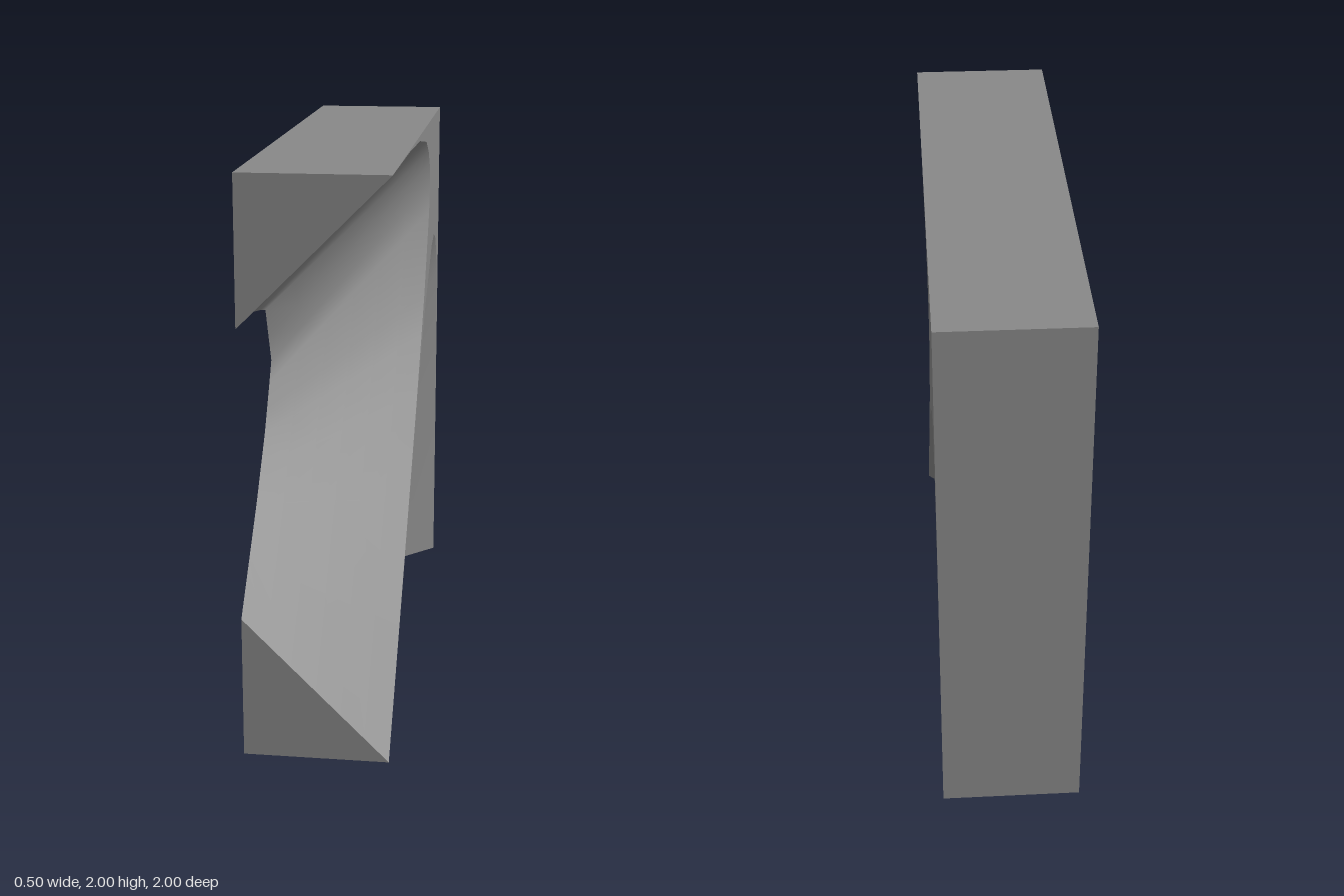
import * as THREE from 'three';

const W = 0.25; // half thickness

// Edges of the lower notch as [z, y]: narrow on the left side, wide on the right side
const narrow = [
  [0.5, 0], [0.35, 0.155], [0.2, 0.31], [0.1, 0.4], [0, 0.49], [-0.08, 0.545], [-0.16, 0.6],
  [-0.23, 0.645], [-0.33, 0.595], [-0.44, 0.54], [-0.46, 0.45], [-0.49, 0.29], [-0.495, 0.15], [-0.5, 0],
];
const wide = [
  [1, 0], [0.65, 0.348], [0.3, 0.692], [0, 0.985], [-0.2, 1.165], [-0.35, 1.29], [-0.64, 1.475],
  [-0.75, 1.5], [-0.83, 1.475], [-0.89, 1.41], [-0.94, 1.3], [-0.98, 1.0], [-0.995, 0.6], [-1, 0],
];

// The upper notch is the lower one reflected across the diagonal z + y = 1
const reflect = (points) => points.map(([z, y]) => [1 - y, 1 - z]);

// Flat convex face from corners in counter-clockwise order
function flatFace(corners) {
  const g = new THREE.BufferGeometry();
  g.setAttribute('position', new THREE.Float32BufferAttribute(corners.flat(), 3));
  g.setIndex(corners.length === 4 ? [0, 1, 2, 0, 2, 3] : [0, 1, 2]);
  g.computeVertexNormals();
  return g;
}

// Flat side of the block, facing +x (side = 1) or -x (side = -1)
function sideFace(outline, side) {
  const shape = new THREE.Shape(outline.map(([z, y]) => new THREE.Vector2(-side * z, y)));
  return new THREE.ShapeGeometry(shape).rotateY(side * Math.PI / 2).translate(side * W, 0, 0);
}

// Smooth slanted wall joining the narrow and wide edges of a notch
function notchWall(inner, outer, flip) {
  const positions = [], index = [], rows = 6;
  inner.forEach(([z, y], i) => {
    for (let j = 0; j <= rows; j++) {
      const t = j / rows;
      positions.push(-W + 2 * W * t, y + (outer[i][1] - y) * t, z + (outer[i][0] - z) * t);
    }
  });
  for (let i = 0; i < inner.length - 1; i++) {
    for (let j = 0; j < rows; j++) {
      const a = i * (rows + 1) + j, b = a + 1, c = a + rows + 1, d = c + 1;
      index.push(...(flip ? [a, b, c, b, d, c] : [a, c, b, b, c, d]));
    }
  }
  const g = new THREE.BufferGeometry();
  g.setAttribute('position', new THREE.Float32BufferAttribute(positions, 3));
  g.setIndex(index);
  g.computeVertexNormals();
  return g;
}

export function createModel() {
  const group = new THREE.Group();
  group.name = 'notchedBlock';
  const grey = new THREE.MeshStandardMaterial({ color: 0x888888 });
  grey.name = 'grey';
  const add = (name, geometry) => {
    const mesh = new THREE.Mesh(geometry, grey);
    mesh.name = name;
    group.add(mesh);
  };

  // Sides: broad on the left-hand plate, thin strips on the other
  const corners = [[-1, 0], [-1, 2], [1, 2]];
  add('broadSide', sideFace([[1, 0], ...narrow, ...corners, ...reflect(narrow).reverse()], -1));
  add('thinSide', sideFace([...wide, [-1, 2], ...reflect(wide).reverse().slice(0, -1)], 1));

  // Flared notches
  add('lowerNotch', notchWall(narrow, wide, false));
  add('upperNotch', notchWall(reflect(narrow), reflect(wide), true));

  // Full top and back
  add('top', flatFace([[-W, 2, -1], [-W, 2, 1], [W, 2, 1], [W, 2, -1]]));
  add('back', flatFace([[-W, 0, -1], [-W, 2, -1], [W, 2, -1], [W, 0, -1]]));

  // Triangular ends of the three arms
  add('upperArmEnd', flatFace([[-W, 2, 1], [-W, 1.5, 1], [W, 2, 1]]));
  add('diagonalArmFront', flatFace([[-W, 0, 1], [W, 0, 1], [-W, 0.5, 1]]));
  add('diagonalArmBase', flatFace([[-W, 0, 1], [-W, 0, 0.5], [W, 0, 1]]));
  add('rearArmBase', flatFace([[-W, 0, -1], [W, 0, -1], [-W, 0, -0.5]]));

  return group;
}
